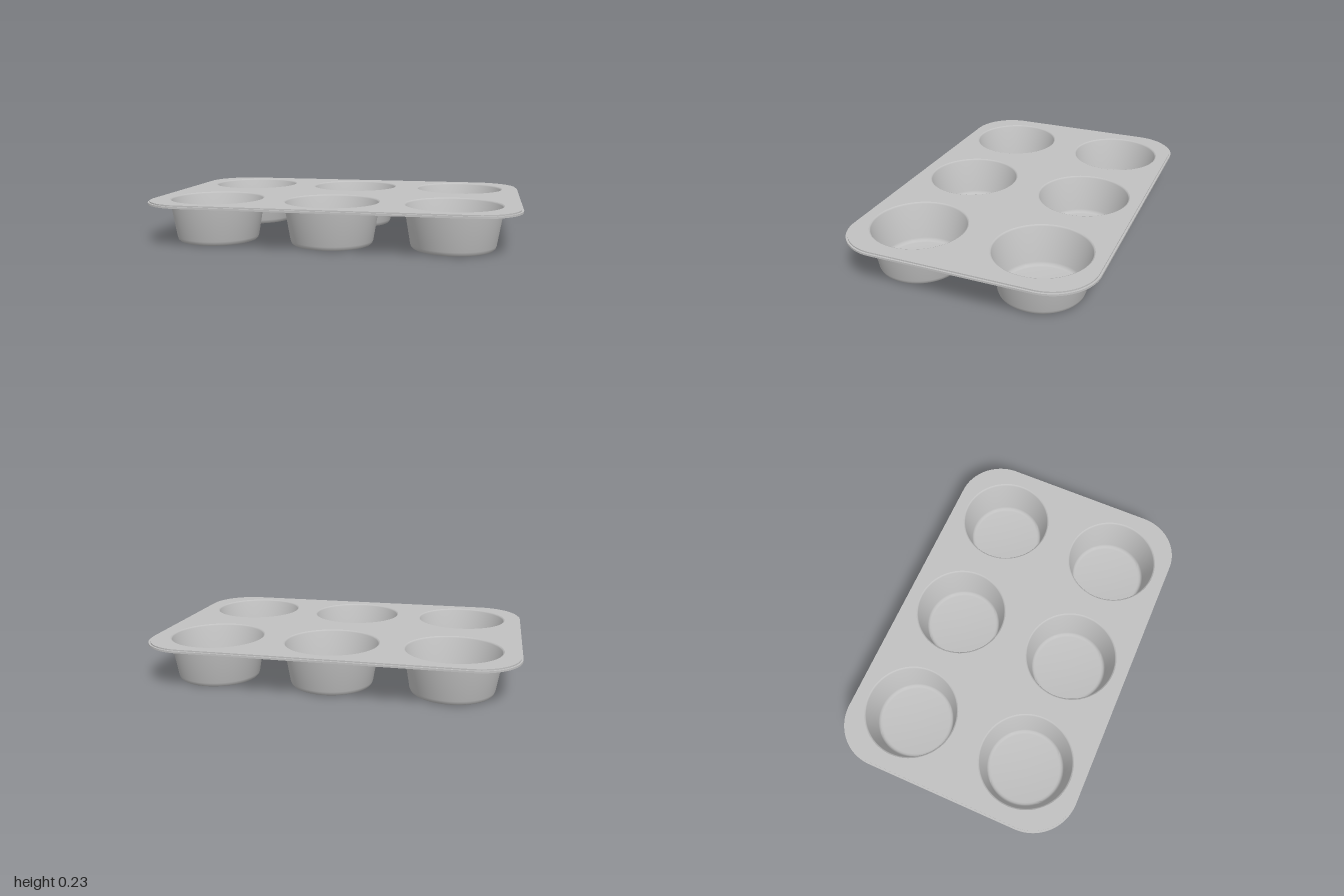
import * as THREE from 'three';
import { toCreasedNormals } from 'three/addons/utils/BufferGeometryUtils.js';

const HALF_X = 1, HALF_Z = 0.675, CORNER = 0.25;
const BOTTOM = 0.215, TOP = 0.232, HOLE = 0.259;
const CUPS = [-0.65, 0, 0.65].flatMap(x => [-0.343, 0.343].map(z => [x, z]));

// Rounded rectangle, inset from the outer edge of the tray
function outline(inset, Type = THREE.Shape) {
  const x = HALF_X - inset, y = HALF_Z - inset, r = CORNER - inset;
  const s = new Type();
  s.moveTo(-x + r, -y);
  s.lineTo(x - r, -y);
  s.absarc(x - r, -y + r, r, -Math.PI / 2, 0);
  s.lineTo(x, y - r);
  s.absarc(x - r, y - r, r, 0, Math.PI / 2);
  s.lineTo(-x + r, y);
  s.absarc(-x + r, y - r, r, Math.PI / 2, Math.PI);
  s.lineTo(-x, -y + r);
  s.absarc(-x + r, -y + r, r, Math.PI, Math.PI * 1.5);
  return s;
}

// Extrude a plan shape upwards from y0 to y1
function slab(shape, y0, y1) {
  const g = new THREE.ExtrudeGeometry(shape, { depth: y1 - y0, bevelEnabled: false, curveSegments: 32 });
  g.rotateX(-Math.PI / 2).translate(0, y0, 0);
  return toCreasedNormals(g, 0.5);
}

export function createModel() {
  const group = new THREE.Group();
  const metal = new THREE.MeshStandardMaterial({ color: 0xc0c0c0 });
  metal.name = 'grey metal';

  const add = (name, geometry) => {
    const mesh = new THREE.Mesh(geometry, metal);
    mesh.name = name;
    group.add(mesh);
    return mesh;
  };

  // Flat top sheet with six holes
  const sheet = outline(0.01);
  for (const [x, z] of CUPS) {
    const hole = new THREE.Path();
    hole.absarc(x, -z, HOLE, 0, Math.PI * 2, true);
    sheet.holes.push(hole);
  }
  add('traySheet', slab(sheet, BOTTOM, TOP));

  // Slightly lower lip around the edge
  const lip = outline(0);
  lip.holes.push(outline(0.012, THREE.Path));
  add('edgeLip', slab(lip, BOTTOM, 0.225));

  // Thin-walled tapered cups: up the outside, over the lip, down the inside
  const profile = [
    [0, 0], [0.2, 0], [0.212, 0.003], [0.22, 0.011], [0.225, 0.025],
    [0.257, BOTTOM], [HOLE, TOP], [0.254, 0.23], [0.25, 0.224],
    [0.217, 0.03], [0.212, 0.018], [0.204, 0.012], [0.194, 0.01], [0, 0.01],
  ].map(([r, y]) => new THREE.Vector2(r, y));
  const cup = toCreasedNormals(new THREE.LatheGeometry(profile, 64), 0.75);
  CUPS.forEach(([x, z], i) => add('cup' + (i + 1), cup).position.set(x, 0, z));

  return group;
}
